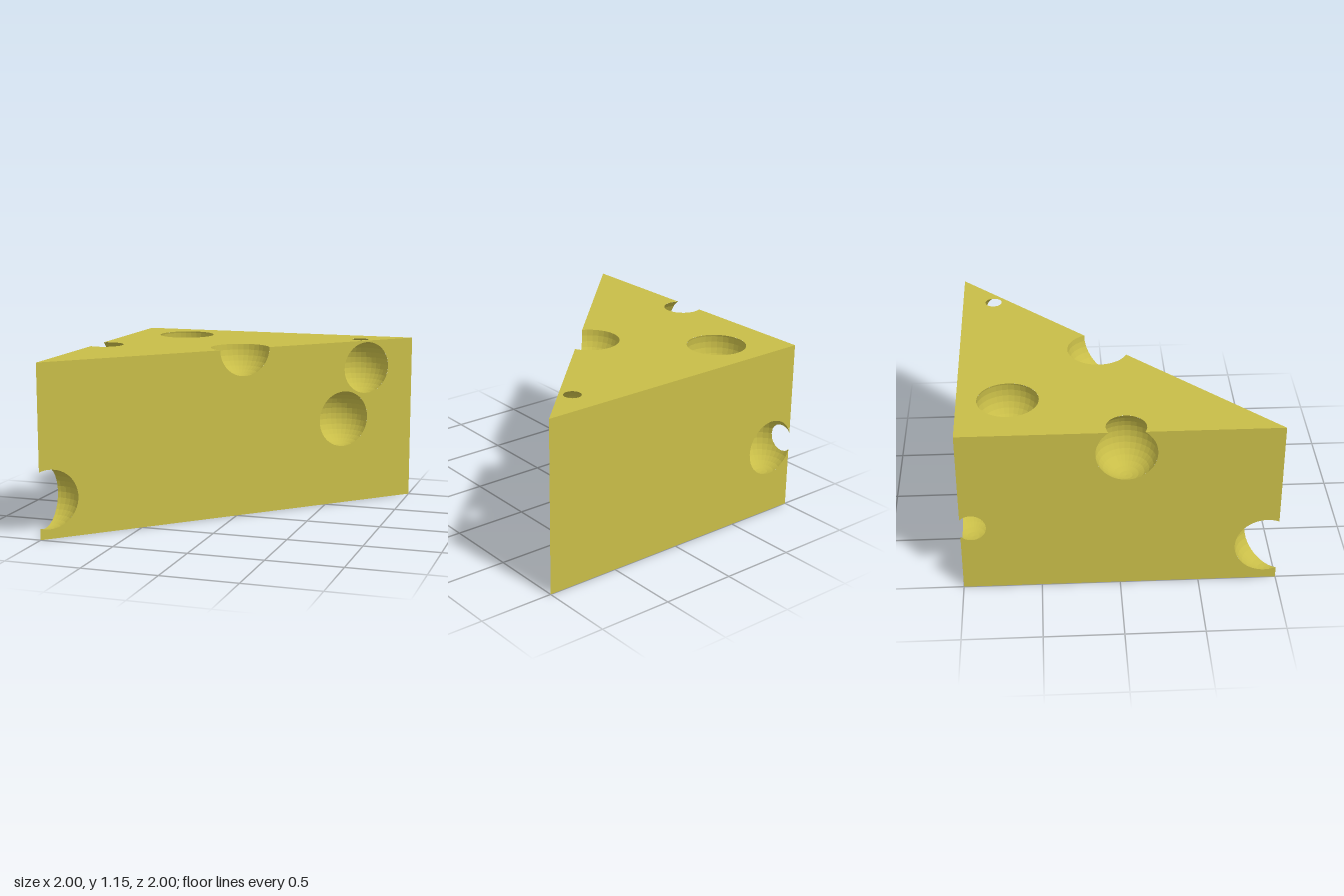
import * as THREE from 'three';
import { mergeGeometries } from 'three/addons/utils/BufferGeometryUtils.js';

const H = 1.15; // wedge height
const R = 0.2;  // bubble radius

// Centres of the round bubbles
const bubbles = [
  [-0.6, 1.1, -0.68],     // top
  [-0.005, 1.15, -0.095], // top edge of the slanted side
  [0.67, 0.958, -0.79],   // slanted side, breaking through the top
  [0.57, 0.605, -0.63],   // slanted side
  [-0.98, 0.26, 0.925],   // sharp front corner
  [-0.94, 0.994, 0.037],  // top edge of the x = -1 side
  [-0.823, 0.467, -0.931] // back corner
].map(c => new THREE.Vector3(...c));

// Corner loops of the wedge faces, counter-clockwise from outside
function wedgeFaces() {
  const plan = [[-1, 1], [1, -1], [-1, -1]];
  const ring = y => plan.map(([x, z]) => new THREE.Vector3(x, y, z));
  const low = ring(0), high = ring(H);
  const faces = [high, [...low].reverse()];
  for (let i = 0; i < 3; i++) {
    const j = (i + 1) % 3;
    faces.push([low[i], low[j], high[j], high[i]]);
  }
  return faces.map(corners => {
    const o = corners[0];
    const u = corners[1].clone().sub(o).normalize();
    const n = u.clone().cross(corners[2].clone().sub(o)).normalize();
    return { corners, o, u, n, v: n.clone().cross(u) };
  });
}

// Flat face with round bites along its edges and round holes inside
function faceGeometry({ corners, o, u, v, n }) {
  const to2D = p => {
    const d = p.clone().sub(o);
    return new THREE.Vector2(d.dot(u), d.dot(v));
  };
  const circles = [];
  for (const b of bubbles) {
    const d = b.clone().sub(o).dot(n);
    if (Math.abs(d) < R) circles.push({ c: to2D(b), r: Math.sqrt(R * R - d * d), inside: true });
  }
  const flat = corners.map(to2D);
  const outline = [];
  flat.forEach((p, i) => {
    const q = flat[(i + 1) % flat.length];
    const e = q.clone().sub(p), length = e.length();
    e.normalize();
    outline.push(p);
    const bites = [];
    for (const circle of circles) {
      const rel = circle.c.clone().sub(p);
      const t = rel.dot(e), h = e.cross(rel);
      if (h < circle.r) circle.inside = false;
      if (Math.abs(h) < circle.r && t > 0 && t < length) {
        bites.push({ ...circle, t, half: Math.sqrt(circle.r ** 2 - h * h) });
      }
    }
    bites.sort((a, b) => a.t - b.t);
    for (const { c, r, t, half } of bites) {
      const a0 = p.clone().addScaledVector(e, t - half).sub(c).angle();
      let a1 = p.clone().addScaledVector(e, t + half).sub(c).angle();
      if (a1 > a0) a1 -= 2 * Math.PI;
      for (let k = 0; k <= 32; k++) {
        const a = a0 + (a1 - a0) * k / 32;
        outline.push(new THREE.Vector2(c.x + r * Math.cos(a), c.y + r * Math.sin(a)));
      }
    }
  });
  const shape = new THREE.Shape(outline);
  for (const { c, r, inside } of circles) {
    if (inside) shape.holes.push(new THREE.Path().absarc(c.x, c.y, r, 0, 2 * Math.PI, true));
  }
  const frame = new THREE.Matrix4().makeBasis(u, v, n).setPosition(o);
  return new THREE.ShapeGeometry(shape, 24).applyMatrix4(frame);
}

// Keep the part of a polygon on the inner side of a plane
function clip(poly, { o, n }) {
  const out = [];
  poly.forEach((p, i) => {
    const q = poly[(i + 1) % poly.length];
    const dp = p.clone().sub(o).dot(n), dq = q.clone().sub(o).dot(n);
    if (dp <= 0) out.push(p);
    if (dp * dq < 0) out.push(p.clone().lerp(q, dp / (dp - dq)));
  });
  return out;
}

// Faceted sphere turned inside out and trimmed to the wedge
function cavityGeometry(centre, faces) {
  const ball = new THREE.SphereGeometry(R * 1.004, 32, 16).toNonIndexed();
  ball.translate(centre.x, centre.y, centre.z);
  const pos = ball.attributes.position;
  const points = [];
  for (let i = 0; i < pos.count; i += 3) {
    let poly = [2, 1, 0].map(k => new THREE.Vector3().fromBufferAttribute(pos, i + k));
    for (const face of faces) poly = clip(poly, face);
    for (let k = 1; k + 1 < poly.length; k++) points.push(poly[0], poly[k], poly[k + 1]);
  }
  const geometry = new THREE.BufferGeometry().setFromPoints(points);
  geometry.computeVertexNormals();
  return geometry;
}

export function createModel() {
  const model = new THREE.Group();
  model.name = 'cheeseWedge';
  const material = new THREE.MeshStandardMaterial({ color: 0xc8bd48, flatShading: true });
  const faces = wedgeFaces();

  // Outer rind of the wedge
  const body = new THREE.Mesh(mergeGeometries(faces.map(faceGeometry)), material);
  body.name = 'wedgeBody';
  model.add(body);

  // Bubble cavities
  const holes = new THREE.Group();
  holes.name = 'bubbleHoles';
  bubbles.forEach((centre, i) => {
    const hole = new THREE.Mesh(cavityGeometry(centre, faces), material);
    hole.name = `bubbleHole${i + 1}`;
    holes.add(hole);
  });
  model.add(holes);
  return model;
}
